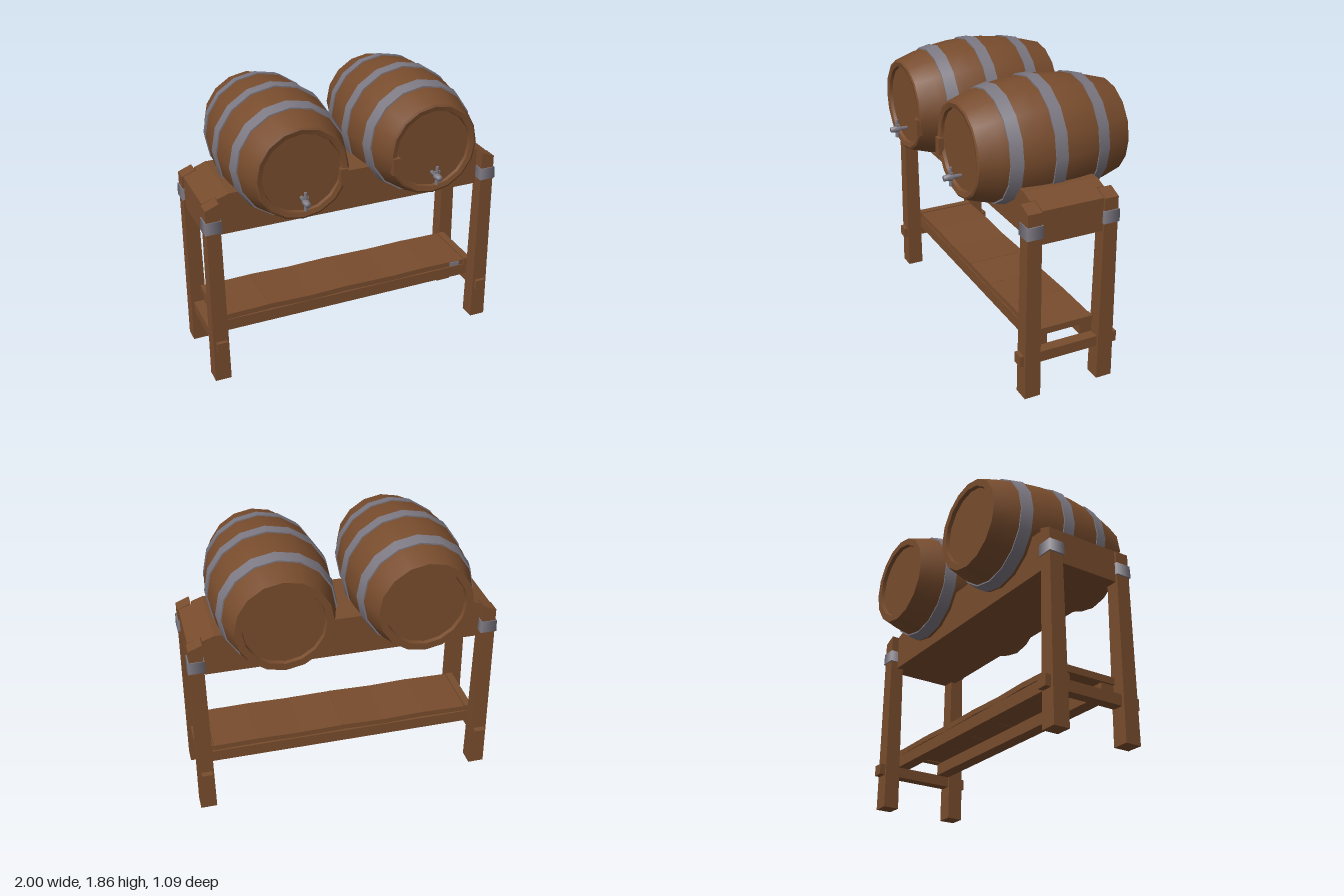
import * as THREE from 'three';

const wood = new THREE.MeshStandardMaterial({ color: 0x784c2d });
wood.name = 'wood';
const steel = new THREE.MeshStandardMaterial({ color: 0x7c7882 });
steel.name = 'steel';

function add(parent, name, geometry, material, x = 0, y = 0, z = 0) {
  const mesh = new THREE.Mesh(geometry, material);
  mesh.name = name;
  mesh.position.set(x, y, z);
  parent.add(mesh);
  return mesh;
}

// Box given by its limits on each axis
function block(parent, name, [x0, x1], [y0, y1], [z0, z1], material = wood) {
  return add(parent, name, new THREE.BoxGeometry(x1 - x0, y1 - y0, z1 - z0), material,
    (x0 + x1) / 2, (y0 + y1) / 2, (z0 + z1) / 2);
}

// Lathe around the z axis, profile points are [radius, z]
function turned(profile, sides = 16) {
  const points = profile.map(([r, z]) => new THREE.Vector2(r, z));
  return new THREE.LatheGeometry(points, sides).rotateX(Math.PI / 2);
}

function barrelRadius(z) {
  const t = (z + 0.045) / 0.5;
  return 0.386 - 0.088 * t * t;
}

function createBarrel(side) {
  const barrel = new THREE.Group();
  barrel.name = side > 0 ? 'leftBarrel' : 'rightBarrel';
  barrel.position.set(side * 0.435, 1.463, 0);

  // Bulging staves
  const staves = [];
  for (let i = 0; i <= 8; i++) {
    const z = -0.54 + i * 0.995 / 8;
    staves.push([barrelRadius(z), z]);
  }
  add(barrel, 'staves', turned(staves), wood);

  // Recessed ends with a raised rim, one lathe per face for sharp edges
  const rBack = barrelRadius(-0.54), rFront = barrelRadius(0.455);
  const ends = {
    back: [[0, -0.515], [0.25, -0.515], [0.255, -0.54], [rBack, -0.54]],
    front: [[rFront, 0.455], [0.285, 0.462], [0.255, 0.455], [0.25, 0.435], [0, 0.435]],
  };
  for (const [name, p] of Object.entries(ends)) {
    for (let i = 0; i < p.length - 1; i++) {
      add(barrel, name + 'End', turned([p[i], p[i + 1]]), wood);
    }
  }
  // Proud piece of the front rim
  block(barrel, 'rimBlock', side > 0 ? [-0.285, -0.235] : [0.235, 0.285], [-0.12, -0.01], [0.44, 0.477]);

  // Hoops
  for (const z of [0.245, -0.033, -0.335]) {
    const a = z - 0.039, b = z + 0.039, ra = barrelRadius(a), rb = barrelRadius(b);
    add(barrel, 'hoop', turned([[ra + 0.008, a], [rb + 0.008, b]]), steel);
    add(barrel, 'hoopEdge', turned([[ra - 0.01, a], [ra + 0.008, a]]), steel);
    add(barrel, 'hoopEdge', turned([[rb + 0.008, b], [rb - 0.01, b]]), steel);
  }

  // Tap: tapered body, upright key and cross handle
  const tap = new THREE.Group();
  tap.name = 'tap';
  tap.position.set(side * 0.003, -0.163, 0);
  barrel.add(tap);
  add(tap, 'spout', turned([[0, 0.43], [0.012, 0.43], [0.014, 0.49], [0.024, 0.5], [0.018, 0.55], [0, 0.55]], 8), steel);
  add(tap, 'key', new THREE.CylinderGeometry(0.01, 0.013, 0.12, 8), steel, 0, 0.005, 0.505);
  add(tap, 'keyGrip', new THREE.BoxGeometry(0.04, 0.012, 0.014), steel, 0, 0.03, 0.505);
  return barrel;
}

// Leg narrows upward and its top slopes down to the outside
function legGeometry(side) {
  const g = new THREE.BoxGeometry(0.107, 1.26, 0.107).translate(0, 0.63, 0);
  const p = g.attributes.position;
  for (let i = 0; i < p.count; i++) {
    if (p.getY(i) < 1) continue;
    const outer = p.getX(i) * side > 0;
    p.setXYZ(i, p.getX(i) * 0.82, outer ? 1.24 : 1.275, p.getZ(i) * 0.85);
  }
  g.computeVertexNormals();
  return g;
}

// Beam outline with sloping shoulders, pushed out along z
function beamGeometry(half, z0, z1) {
  const endY = 1.3 - Math.max(0, half - 0.82) * 0.35;
  const s = new THREE.Shape();
  s.moveTo(-half, 1.03);
  s.lineTo(half, 1.03);
  s.lineTo(half, endY);
  s.lineTo(0.82, 1.3);
  s.lineTo(-0.82, 1.3);
  s.lineTo(-half, endY);
  return new THREE.ExtrudeGeometry(s, { depth: z1 - z0, bevelEnabled: false }).translate(0, 0, z0);
}

export function createModel() {
  const model = new THREE.Group();
  model.name = 'barrelRack';

  for (const side of [-1, 1]) {
    model.add(createBarrel(side));
    for (const z of [0.232, -0.275]) {
      add(model, 'leg', legGeometry(side), wood, side * 0.946, 0, z);
      // Band around the leg, with a slight bulge
      const band = add(model, 'legBand', new THREE.CylinderGeometry(0.0735, 0.0765, 0.08, 4, 1), steel, side * 0.947, 1.12, z);
      band.geometry.rotateY(Math.PI / 4);
    }
    // Stretcher passing through the legs
    const x = side * 0.943;
    block(model, 'stretcher', [x - 0.036, x + 0.036], [0.227, 0.298], [-0.365, 0.31]);
  }

  // Cradle beam with cheeks on both faces
  add(model, 'beam', beamGeometry(0.982, -0.225, 0.18), wood);
  add(model, 'frontCheek', beamGeometry(0.895, 0.18, 0.215), wood);
  add(model, 'backCheek', beamGeometry(0.895, -0.275, -0.225), wood);

  // Shelf rails
  block(model, 'frontRail', [-0.91, 0.91], [0.297, 0.376], [0.09, 0.18]);
  block(model, 'backRail', [-0.91, 0.91], [0.297, 0.376], [-0.225, -0.14]);
  for (const side of [-1, 1]) {
    const x = side * 0.9;
    block(model, 'endRail', [x - 0.025, x + 0.025], [0.376, 0.42], [-0.22, 0.18]);
  }

  // Uneven shelf boards
  const tilts = [0.02, -0.03, 0.025, -0.012, 0.02, -0.015];
  tilts.forEach((tilt, i) => {
    const x0 = -0.87 + i * 0.29;
    const board = block(model, 'shelfBoard', [x0, x0 + 0.29], [0.383, 0.419], [-0.22, 0.18]);
    board.rotation.z = tilt;
  });
  block(model, 'shelfPlate', [0.76, 0.83], [0.385, 0.415], [0.178, 0.186], steel);

  return model;
}
